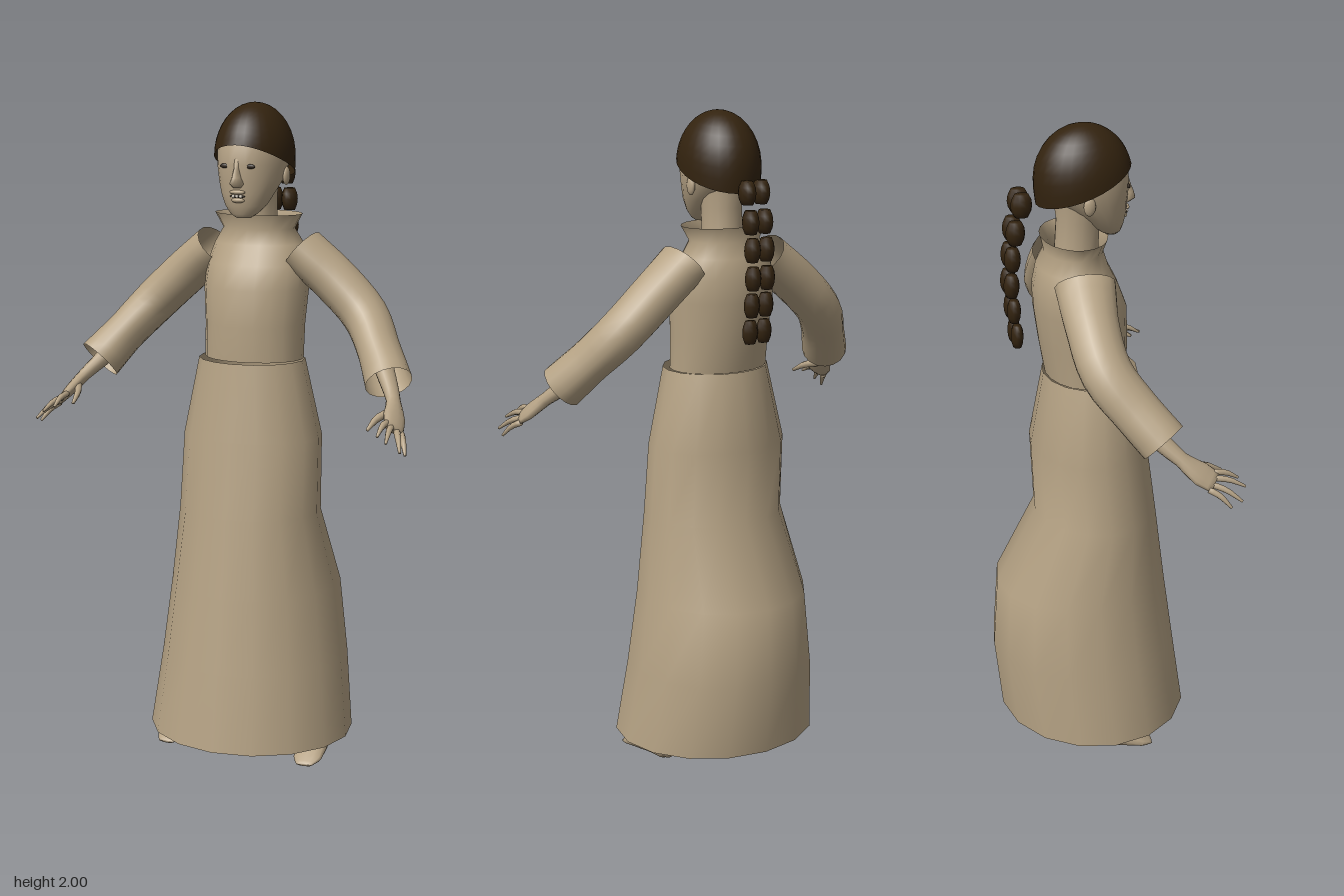
import * as THREE from 'three';

const V = (x, y, z) => new THREE.Vector3(x, y, z);
const mat = (name, color, open) => {
  const m = new THREE.MeshStandardMaterial({ color });
  m.name = name;
  if (open) m.side = THREE.DoubleSide;
  return m;
};

// Smooth skin over a stack of closed rings, optionally capped at both ends
function skin(rings, capped) {
  const n = rings[0].length, pts = rings.flat(), idx = [];
  for (let i = 0; i < rings.length - 1; i++) {
    for (let j = 0; j < n; j++) {
      const k = (j + 1) % n, a = i * n, b = a + n;
      idx.push(a + j, a + k, b + k, a + j, b + k, b + j);
    }
  }
  if (capped) {
    const last = (rings.length - 1) * n;
    [[0, true], [last, false]].forEach(([start, flip]) => {
      const c = V(0, 0, 0);
      for (let j = 0; j < n; j++) c.addScaledVector(pts[start + j], 1 / n);
      const m = pts.push(c) - 1;
      for (let j = 0; j < n; j++) {
        const p = start + j, q = start + (j + 1) % n;
        flip ? idx.push(m, q, p) : idx.push(m, p, q);
      }
    });
  }
  const g = new THREE.BufferGeometry().setFromPoints(pts);
  g.setIndex(idx);
  g.computeVertexNormals();
  return g;
}

// Level elliptical sections, bottom to top: [y, halfWidth, zFront, zBack]
function loft(sections, n, capped) {
  return skin(sections.map(([y, w, zf, zb]) => Array.from({ length: n }, (_, j) => {
    const a = j / n * Math.PI * 2;
    return V(w * Math.sin(a), y, (zf + zb) / 2 + (zf - zb) / 2 * Math.cos(a));
  })), capped);
}

// Elliptical tube along a curve; stations are [x, y, z, radiusAlongAxis, radiusAcross]
function limb(stations, axis, n, steps, capped) {
  const curve = new THREE.CatmullRomCurve3(stations.map(s => V(s[0], s[1], s[2])));
  const rings = [];
  for (let i = 0; i <= steps; i++) {
    const t = i / steps, f = t * (stations.length - 1);
    const k = Math.min(Math.floor(f), stations.length - 2);
    const r = c => THREE.MathUtils.lerp(stations[k][c], stations[k + 1][c], f - k);
    const c = curve.getPoint(t), d = curve.getTangent(t);
    const u = axis.clone().addScaledVector(d, -axis.dot(d)).normalize();
    const v = d.clone().cross(u);
    rings.push(Array.from({ length: n }, (_, j) => {
      const a = j / n * Math.PI * 2;
      return c.clone().addScaledVector(u, r(3) * Math.cos(a)).addScaledVector(v, r(4) * Math.sin(a));
    }));
  }
  return skin(rings, capped);
}

export function createModel() {
  const model = new THREE.Group();
  model.name = 'robedFigure';
  const cloth = mat('cloth', 0xb5a284, true);
  const flesh = mat('skin', 0xb5a285);
  const hairMat = mat('hair', 0x33230f, true);
  const dark = mat('eyeDark', 0x30261c);
  const pale = mat('teeth', 0xd8d0c2);
  const add = (name, geo, m) => {
    const mesh = new THREE.Mesh(geo, m);
    mesh.name = name;
    model.add(mesh);
    return mesh;
  };
  const blob = (name, m, p, s) => {
    const mesh = add(name, new THREE.SphereGeometry(1, 12, 8), m);
    mesh.position.set(...p);
    mesh.scale.set(...s);
    return mesh;
  };

  // Dress: skirt full at the back, bodice with a flared collar
  add('skirt', loft([
    [0.065, 0.32, 0.30, -0.29], [0.3, 0.29, 0.268, -0.315], [0.53, 0.262, 0.236, -0.30],
    [0.77, 0.222, 0.203, -0.175], [1.0, 0.217, 0.172, -0.185], [1.235, 0.165, 0.143, -0.143],
  ], 16), cloth);
  add('bodice', loft([
    [1.235, 0.155, 0.106, -0.137], [1.34, 0.155, 0.11, -0.155], [1.45, 0.163, 0.106, -0.17],
    [1.52, 0.16, 0.08, -0.17], [1.58, 0.14, 0.05, -0.158], [1.625, 0.112, 0.036, -0.137],
    [1.67, 0.138, 0.05, -0.147],
  ], 20), cloth);

  // Head and neck
  add('neck', loft([
    [1.56, 0.07, 0.03, -0.11], [1.64, 0.06, 0.026, -0.105],
    [1.72, 0.06, 0.03, -0.1], [1.8, 0.068, 0.04, -0.11],
  ], 16), flesh);
  add('head', loft([
    [1.664, 0.022, 0.082, 0.045], [1.676, 0.042, 0.092, 0.025], [1.7, 0.063, 0.1, -0.01],
    [1.735, 0.08, 0.108, -0.05], [1.775, 0.095, 0.11, -0.1], [1.82, 0.104, 0.115, -0.135],
    [1.88, 0.105, 0.11, -0.145], [1.92, 0.09, 0.085, -0.12], [1.955, 0.055, 0.04, -0.08],
  ], 24, true), flesh);
  add('nose', loft([
    [1.755, 0.014, 0.118, 0.08], [1.767, 0.021, 0.137, 0.08],
    [1.785, 0.014, 0.132, 0.08], [1.81, 0.01, 0.122, 0.08], [1.84, 0.012, 0.114, 0.08],
  ], 12, true), flesh);
  blob('upperLip', flesh, [0, 1.742, 0.106], [0.026, 0.007, 0.012]);
  blob('lowerLip', flesh, [0, 1.718, 0.1], [0.022, 0.008, 0.012]);
  blob('mouth', dark, [0, 1.73, 0.104], [0.025, 0.005, 0.006]);
  for (const x of [-0.012, 0, 0.012]) blob('tooth', pale, [x, 1.73, 0.109], [0.005, 0.005, 0.004]);

  // Hair cap: dome cut along a hairline that is high in front and low behind
  const N = 28, rings = [];
  for (let i = 0; i <= 10; i++) {
    rings.push(Array.from({ length: N }, (_, j) => {
      const a = j / N * Math.PI * 2, c = Math.cos(a);
      const low = 1.815 + 0.055 * c + 0.01 * c * c;
      const y = low + (2 - low) * Math.sin(i / 10 * Math.PI / 2);
      const h = y - 1.84, k = h / (h > 0 ? 0.16 : 0.25);
      const r = Math.sqrt(Math.max(0, 1 - k * k));
      return V(0.117 * r * Math.sin(a), y, -0.02 + 0.145 * r * c);
    }));
  }
  add('hairCap', skin(rings), hairMat);

  // Braid: paired beads shrinking downwards; [y, z, depth radius]
  const bead = new THREE.LatheGeometry(
    [[0, -1], [0.65, -1], [0.92, -0.5], [1, 0], [0.92, 0.5], [0.65, 1], [0, 1]]
      .map(p => new THREE.Vector2(...p)), 10);
  [[1.78, -0.207, 0.032], [1.697, -0.226, 0.029], [1.617, -0.236, 0.025],
    [1.535, -0.24, 0.024], [1.455, -0.234, 0.021], [1.375, -0.226, 0.019]].forEach(([y, z, r]) => {
    for (const s of [-1, 1]) {
      const m = add('braidBead', bead, hairMat);
      m.position.set(s * 0.024, y, z);
      m.scale.set(0.025, 0.034, r);
    }
  });

  // Paired parts; s = 1 is the model's left
  for (const s of [1, -1]) {
    const side = s > 0 ? 'left' : 'right';
    const flip = list => list.map(([x, ...rest]) => [s * x, ...rest]);

    blob(side + 'Eye', dark, [s * 0.041, 1.818, 0.104], [0.016, 0.007, 0.005]);
    blob(side + 'Ear', flesh, [s * 0.1, 1.785, -0.025], [0.01, 0.028, 0.018]);

    // Sleeve, open at shoulder and cuff
    add(side + 'Sleeve', limb(flip([
      [0.142, 1.565, -0.05, 0.09, 0.068], [0.25, 1.475, -0.055, 0.078, 0.07],
      [0.35, 1.38, -0.04, 0.076, 0.068], [0.42, 1.29, 0.025, 0.072, 0.062],
      [0.477, 1.208, 0.092, 0.072, 0.07],
    ]), V(0, 0, 1), 16, 14), cloth);

    // Forearm and palm
    const across = V(s * 0.676, -0.628, -0.386);
    add(side + 'Hand', limb(flip([
      [0.42, 1.28, 0.02, 0.034, 0.032], [0.465, 1.22, 0.075, 0.03, 0.026],
      [0.508, 1.165, 0.135, 0.023, 0.019], [0.53, 1.125, 0.185, 0.038, 0.017],
      [0.543, 1.098, 0.225, 0.034, 0.011],
    ]), across, 12, 12, true), flesh);

    // Fingers from little to index, then thumb
    [[0.028, [0.592, 1.036, 0.262]], [0.01, [0.588, 1.05, 0.295]],
      [-0.009, [0.553, 1.078, 0.314]], [-0.027, [0.522, 1.092, 0.301]]].forEach(([k, tip]) => {
      const b = [0.54 + 0.676 * k, 1.102 - 0.628 * k, 0.215 - 0.386 * k];
      const mid = b.map((c, i) => (c + tip[i]) / 2 + (i === 1 ? 0.008 : 0));
      add(side + 'Finger', limb(flip([
        [...b, 0.01, 0.01], [...mid, 0.009, 0.009], [...tip, 0.004, 0.004],
      ]), across, 8, 5, true), flesh);
    });
    add(side + 'Thumb', limb(flip([
      [0.515, 1.14, 0.165, 0.013, 0.012], [0.488, 1.125, 0.215, 0.011, 0.01],
      [0.478, 1.1, 0.263, 0.005, 0.005],
    ]), across, 8, 5, true), flesh);

    // Foot and ankle
    add(side + 'Foot', limb(flip([
      [0.228, 0.045, -0.1, 0.02, 0.02], [0.228, 0.055, -0.075, 0.034, 0.04],
      [0.228, 0.056, -0.02, 0.036, 0.045], [0.232, 0.036, 0.05, 0.044, 0.03],
      [0.235, 0.017, 0.11, 0.045, 0.014], [0.237, 0.007, 0.14, 0.025, 0.005],
    ]), V(1, 0, 0), 12, 14, true), flesh);
    const ankle = add(side + 'Ankle', new THREE.CylinderGeometry(0.032, 0.034, 0.08, 12), flesh);
    ankle.position.set(s * 0.228, 0.1, -0.055);
  }
  return model;
}
